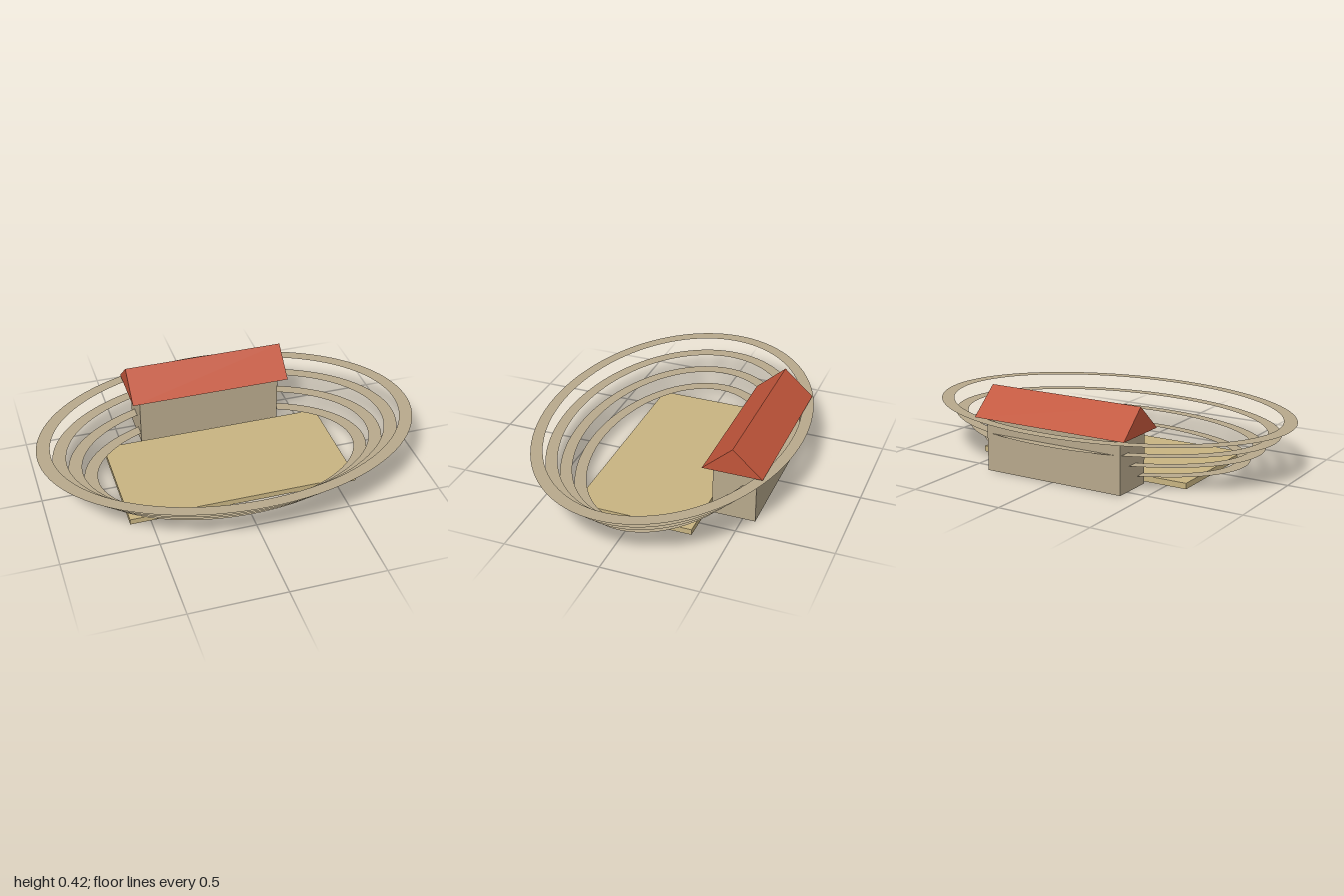
import * as THREE from 'three';

export function createModel() {
  const group = new THREE.Group();
  const stone = new THREE.MeshStandardMaterial({ name: 'stone', color: 0xb8a98c });
  const tierStone = new THREE.MeshStandardMaterial({ name: 'tierStone', color: 0xb8a98c, side: THREE.DoubleSide });
  tierStone.name = 'stone';
  const sand = new THREE.MeshStandardMaterial({ name: 'sand', color: 0xc8b482 });
  const tile = new THREE.MeshStandardMaterial({ name: 'roofTile', color: 0xc1553a });

  const add = (name, geometry, material, x = 0, y = 0, z = 0) => {
    const mesh = new THREE.Mesh(geometry, material);
    mesh.name = name;
    mesh.position.set(x, y, z);
    group.add(mesh);
    return mesh;
  };

  // Arena floor
  add('arenaFloor', new THREE.BoxGeometry(1.214, 0.03, 0.624), sand, 0, 0.015, 0);

  // Four flat oval seating tiers, widening as they rise
  for (let i = 0; i < 4; i++) {
    const rx = 0.768 + i * 0.0773;
    const rz = 0.476 + i * 0.0693;
    const oval = new THREE.Shape();
    oval.absellipse(0, 0, rx, rz, 0, Math.PI * 2, false);
    const opening = new THREE.Path();
    opening.absellipse(0, 0, rx - 0.07, rz - 0.059, 0, Math.PI * 2, true);
    oval.holes.push(opening);
    const tier = new THREE.ShapeGeometry(oval, 48).rotateX(-Math.PI / 2);
    add(`seatingTier${i + 1}`, tier, tierStone, 0, 0.056 + i * 0.07, 0);
  }

  // Stage building at the back
  add('stageBuilding', new THREE.BoxGeometry(0.78, 0.28, 0.225), stone, 0, 0.14, -0.453);

  // Gable roof: triangular prism running along x
  const gable = new THREE.Shape([
    new THREE.Vector2(-0.155, 0),
    new THREE.Vector2(0.155, 0),
    new THREE.Vector2(0, 0.138),
  ]);
  const roof = new THREE.ExtrudeGeometry(gable, { depth: 0.87, bevelEnabled: false });
  roof.translate(0, 0, -0.435).rotateY(Math.PI / 2);
  add('gableRoof', roof, tile, 0, 0.28, -0.453);

  return group;
}
